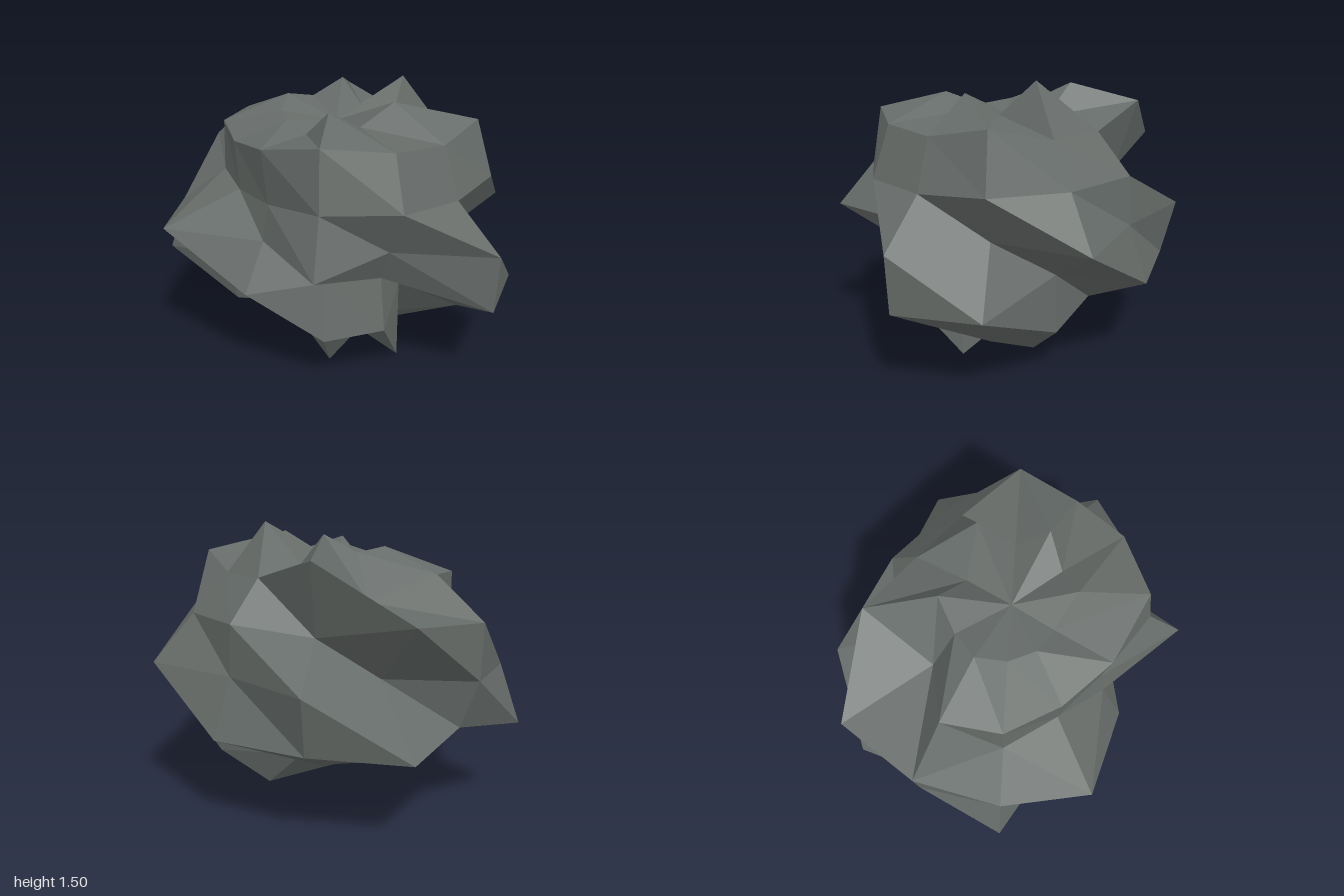
import * as THREE from 'three';

// Radius of every vertex: one row per latitude ring, top to bottom,
// going round from +x towards +z in twelve steps.
const RINGS = [
  [1.00, 0.82, 0.95, 0.73, 0.80, 0.83, 0.92, 0.88, 1.02, 0.78, 1.10, 0.83],
  [0.975, 1.01, 1.08, 0.936, 0.87, 0.94, 0.965, 0.69, 1.14, 0.92, 0.92, 1.10],
  [0.845, 0.88, 0.89, 0.674, 0.65, 0.73, 1.04, 1.13, 0.73, 0.94, 0.93, 0.94],
  [1.035, 0.67, 1.05, 0.67, 1.06, 0.95, 0.95, 0.66, 1.08, 0.88, 1.105, 0.71],
  [1.10, 0.63, 0.67, 0.90, 0.75, 1.15, 0.915, 1.14, 1.08, 1.09, 0.76, 1.09],
  [0.62, 0.89, 0.96, 0.73, 0.91, 0.74, 0.80, 0.80, 0.85, 0.88, 1.02, 1.02],
  [1.142, 0.87, 1.10, 0.727, 0.79, 0.865, 0.85, 0.80, 0.85, 0.80, 1.10, 0.90],
];
const TOP = 0.715, BOTTOM = 0.92;
const COLUMNS = 12, ROWS = 8;

function rockGeometry() {
  const geometry = new THREE.SphereGeometry(1, COLUMNS, ROWS);
  const pos = geometry.attributes.position;
  const v = new THREE.Vector3();
  for (let i = 0; i < pos.count; i++) {
    const row = Math.floor(i / (COLUMNS + 1));
    const column = (6 - (i % (COLUMNS + 1)) + COLUMNS) % COLUMNS;
    const r = row === 0 ? TOP : row === ROWS ? BOTTOM : RINGS[row - 1][column];
    v.fromBufferAttribute(pos, i).multiplyScalar(r);
    pos.setXYZ(i, v.x, v.y, v.z);
  }
  // Squash the lumpy ball and stand it on the ground
  geometry.scale(1, 0.725, 0.866);
  geometry.translate(-0.04, 0.77, 0.035);
  const faceted = geometry.toNonIndexed();
  faceted.computeVertexNormals();
  return faceted;
}

export function createModel() {
  const group = new THREE.Group();
  group.name = 'boulder';
  const material = new THREE.MeshStandardMaterial({ color: 0x666c69, flatShading: true });
  const rock = new THREE.Mesh(rockGeometry(), material);
  rock.name = 'rock';
  group.add(rock);
  return group;
}
